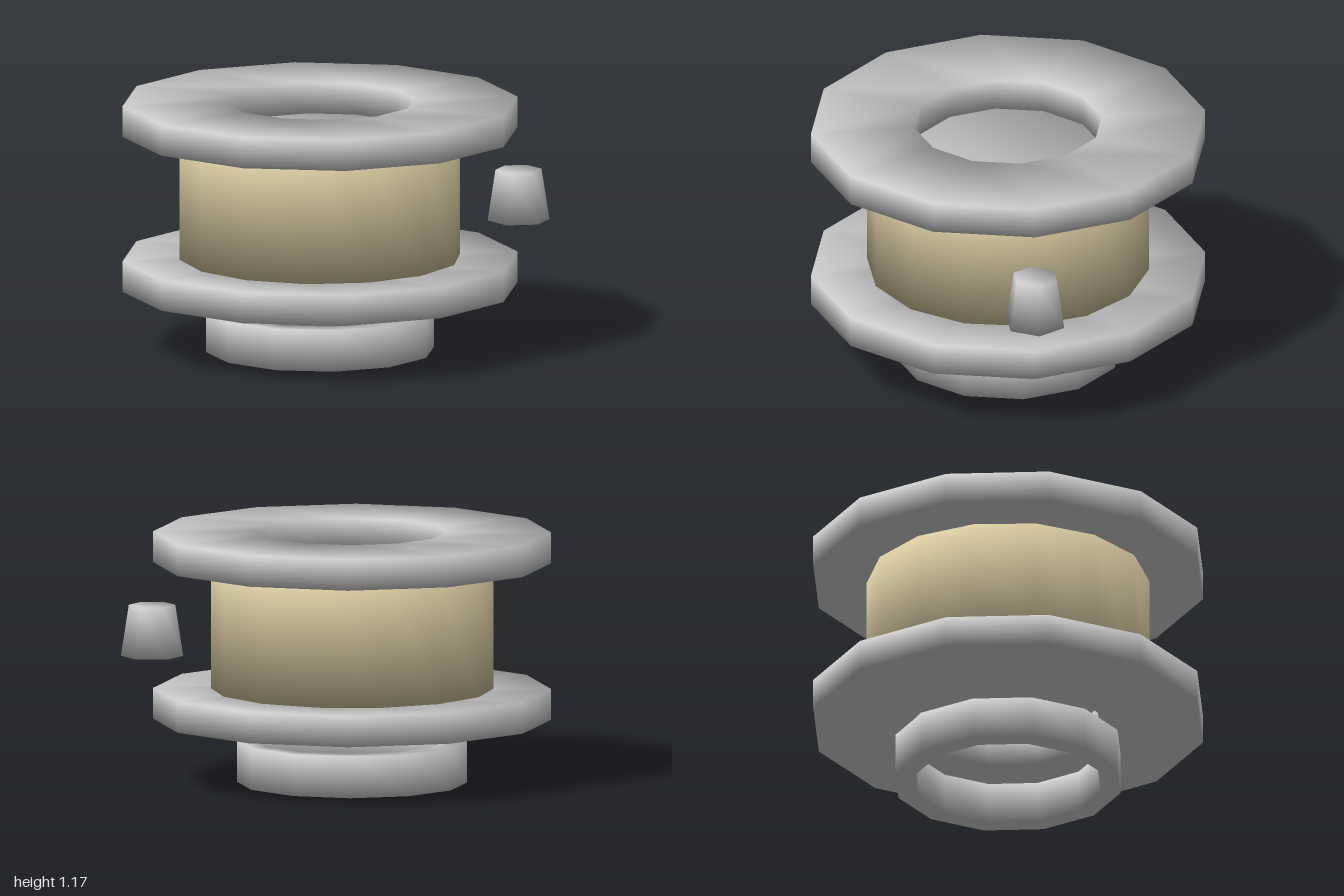
import * as THREE from 'three';

const grey = new THREE.MeshStandardMaterial({ color: 0xcccccc });
const tan = new THREE.MeshStandardMaterial({ color: 0xd8c9a0 });

// Joins rings of vertices swept round y. Each profile point is
// [radius, y, outward sign, upward sign]; the signs give a soft 45 degree normal.
function sweep(profile, sides, { walls = true, closed = false, caps = false }) {
  const pos = [], nor = [], idx = [];
  const n = Math.SQRT1_2;
  for (const [r, y, out, up] of profile) {
    for (let i = 0; i < sides; i++) {
      const a = (i / sides) * Math.PI * 2;
      const c = Math.cos(a), s = Math.sin(a);
      pos.push(r * c, y, r * s);
      nor.push(out * c * n, up * n, out * s * n);
    }
  }
  const bands = closed ? profile.length : profile.length - 1;
  for (let b = 0; walls && b < bands; b++) {
    const lo = b * sides, hi = ((b + 1) % profile.length) * sides;
    for (let i = 0; i < sides; i++) {
      const j = (i + 1) % sides;
      idx.push(lo + i, hi + i, hi + j, lo + i, hi + j, lo + j);
    }
  }
  const top = (profile.length - 1) * sides;
  for (let i = 1; caps && i < sides - 1; i++) {
    idx.push(0, i, i + 1, top, top + i + 1, top + i);
  }
  const g = new THREE.BufferGeometry();
  g.setAttribute('position', new THREE.Float32BufferAttribute(pos, 3));
  g.setAttribute('normal', new THREE.Float32BufferAttribute(nor, 3));
  g.setIndex(idx);
  return g;
}

// Flat ring with a hole
const washer = (outer, inner, y0, y1) => sweep(
  [[outer, y0, 1, -1], [outer, y1, 1, 1], [inner, y1, -1, 1], [inner, y0, -1, -1]],
  12, { closed: true });

export function createModel() {
  const group = new THREE.Group();
  const add = (name, geometry, material = grey, x = -0.075) => {
    const mesh = new THREE.Mesh(geometry, material);
    mesh.name = name;
    mesh.position.x = x;
    group.add(mesh);
  };

  // Base ring and the two flanges
  add('baseRing', washer(0.535, 0.44, 0, 0.195));
  add('lowerFlange', washer(0.925, 0.44, 0.295, 0.44));
  add('upperFlange', washer(0.925, 0.44, 1.03, 1.175));

  // Drum between the flanges, with grey end discs
  const drum = [[0.657, 0.44, 1, -1], [0.657, 1.03, 1, 1]];
  add('drumWall', sweep(drum, 14, {}), tan);
  add('drumEnds', sweep(drum, 14, { walls: false, caps: true }));

  // Tapered six-sided knob beside the drum
  add('knob', sweep([[0.145, 0.59, 1, -1], [0.108, 0.83, 1, 1]], 6, { caps: true }), grey, 0.855);

  return group;
}
